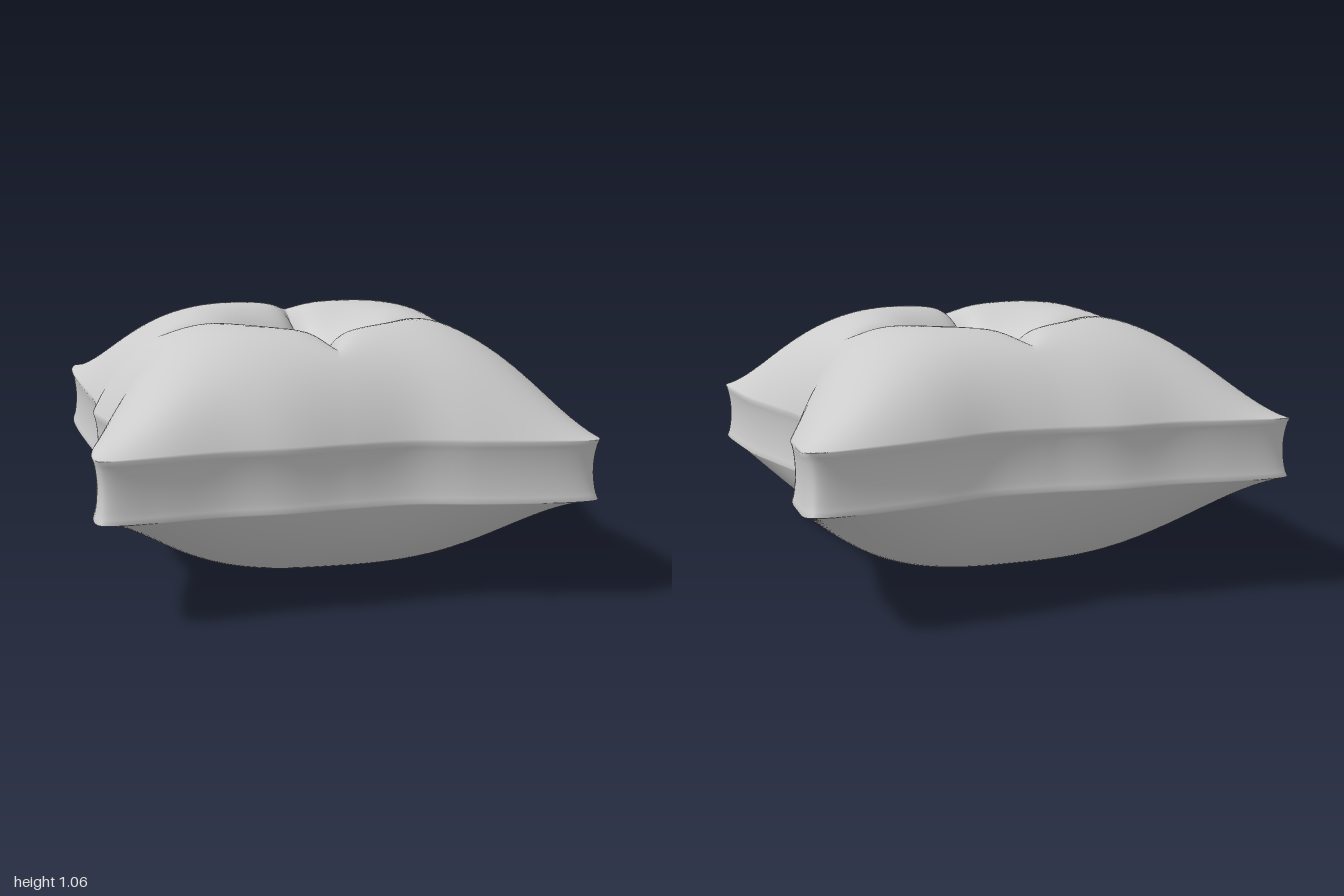
import * as THREE from 'three';
import { mergeGeometries, mergeVertices } from 'three/addons/utils/BufferGeometryUtils.js';

const N = 100; // grid cells across the cushion

// Smooth value along an edge from evenly spaced samples, t in -1..1
function edge(samples) {
  const curve = new THREE.SplineCurve(samples.map((s, i) => new THREE.Vector2(i, s)));
  return t => curve.getPoint((t + 1) / 2).y;
}
const left = edge([1, 0.975, 0.94, 0.91, 0.93, 0.885, 0.93, 0.975, 1]);
const right = edge([1, 0.975, 0.95, 0.88, 0.81, 0.87, 0.94, 0.975, 1]);
const back = edge([0.965, 0.93, 0.89, 0.885, 0.845, 0.835, 0.89, 0.93, 0.955]);
const front = edge([0.96, 0.925, 0.885, 0.88, 0.845, 0.83, 0.885, 0.925, 0.95]);

// Grid spacing, finer near the creases and at the rim
const knot = i => {
  const t = (2 * i) / N - 1;
  return t - 0.1 * Math.sin(2 * Math.PI * t);
};

// Pinched outline with blunted corners
function plan(u, v) {
  const blunt = 1 - 0.035 * Math.pow(Math.abs(u * v), 14);
  const x = u * THREE.MathUtils.lerp(1, (u > 0 ? right : left)(v), u * u);
  const z = v * THREE.MathUtils.lerp(0.95, (v > 0 ? front : back)(u), v * v);
  return [x * blunt, z * blunt];
}

const puff = (u, v, p) => (1 - Math.pow(Math.abs(u), p)) * (1 - Math.pow(Math.abs(v), p));
const tilt = v => 0.07 * Math.max(0, -v) ** 2;

// Stitched fold running outwards from the button
const fold = (across, along) =>
  Math.exp(-Math.abs(across) / 0.045) * (1 - THREE.MathUtils.smoothstep(Math.abs(along), 0.42, 0.72));

function topHeight(u, v) {
  const dimple = 0.25 * Math.exp(-(u * u + v * v) / 0.078);
  const crease = 0.1 * Math.max(fold(u, v), 0.85 * fold(v, u));
  return 0.645 + 0.435 * puff(u, v, 3.6) + tilt(v) - dimple - crease;
}
const bottomHeight = (u, v) => 0.405 - 0.405 * puff(u, v, 2.8) + tilt(v);

// Surface through fn(i, j); faces towards d/dj x d/di
function sheet(ni, nj, fn) {
  const pos = [], index = [];
  for (let i = 0; i <= ni; i++) {
    for (let j = 0; j <= nj; j++) {
      pos.push(...fn(i, j));
      if (i < ni && j < nj) {
        const a = i * (nj + 1) + j, c = a + nj + 1;
        index.push(a, a + 1, c, a + 1, c + 1, c);
      }
    }
  }
  const g = new THREE.BufferGeometry();
  g.setAttribute('position', new THREE.Float32BufferAttribute(pos, 3));
  g.setIndex(index);
  return g;
}

// Point on the square rim, walking front, left, back, right
function rim(i) {
  const side = Math.floor(i / N) % 4, k = knot(i % N);
  return [[-k, 1], [-1, -k], [k, -1], [1, k]][side];
}

export function createModel() {
  const group = new THREE.Group();
  const material = new THREE.MeshStandardMaterial({ color: 0xcccccc });

  // Puffed top and bottom panels
  const top = sheet(N, N, (i, j) => {
    const u = knot(i), v = knot(j), [x, z] = plan(u, v);
    return [x, topHeight(u, v), z];
  });
  const bottom = sheet(N, N, (i, j) => {
    const u = knot(i), v = knot(N - j), [x, z] = plan(u, v);
    return [x, bottomHeight(u, v), z];
  });

  // Side band, drawn in between its two seams
  const rows = 12;
  const band = sheet(4 * N, rows, (i, j) => {
    const [u, v] = rim(i), [x, z] = plan(u, v), t = j / rows;
    const s = 1 - 0.018 * Math.pow(Math.sin(Math.PI * t), 0.7);
    return [x * s, THREE.MathUtils.lerp(bottomHeight(u, v), topHeight(u, v), t), z * s];
  });

  // Joined so the shading runs softly over the seams
  const geometry = mergeVertices(mergeGeometries([top, bottom, band]), 1e-4);
  geometry.computeVertexNormals();
  const cushion = new THREE.Mesh(geometry, material);
  cushion.name = 'cushion';
  group.add(cushion);

  // Button sunk in the central dimple
  const button = new THREE.Mesh(new THREE.SphereGeometry(0.08, 32, 20), material);
  button.name = 'button';
  button.scale.y = 0.6;
  button.position.set(-0.01, 0.8, 0.02);
  group.add(button);

  return group;
}
